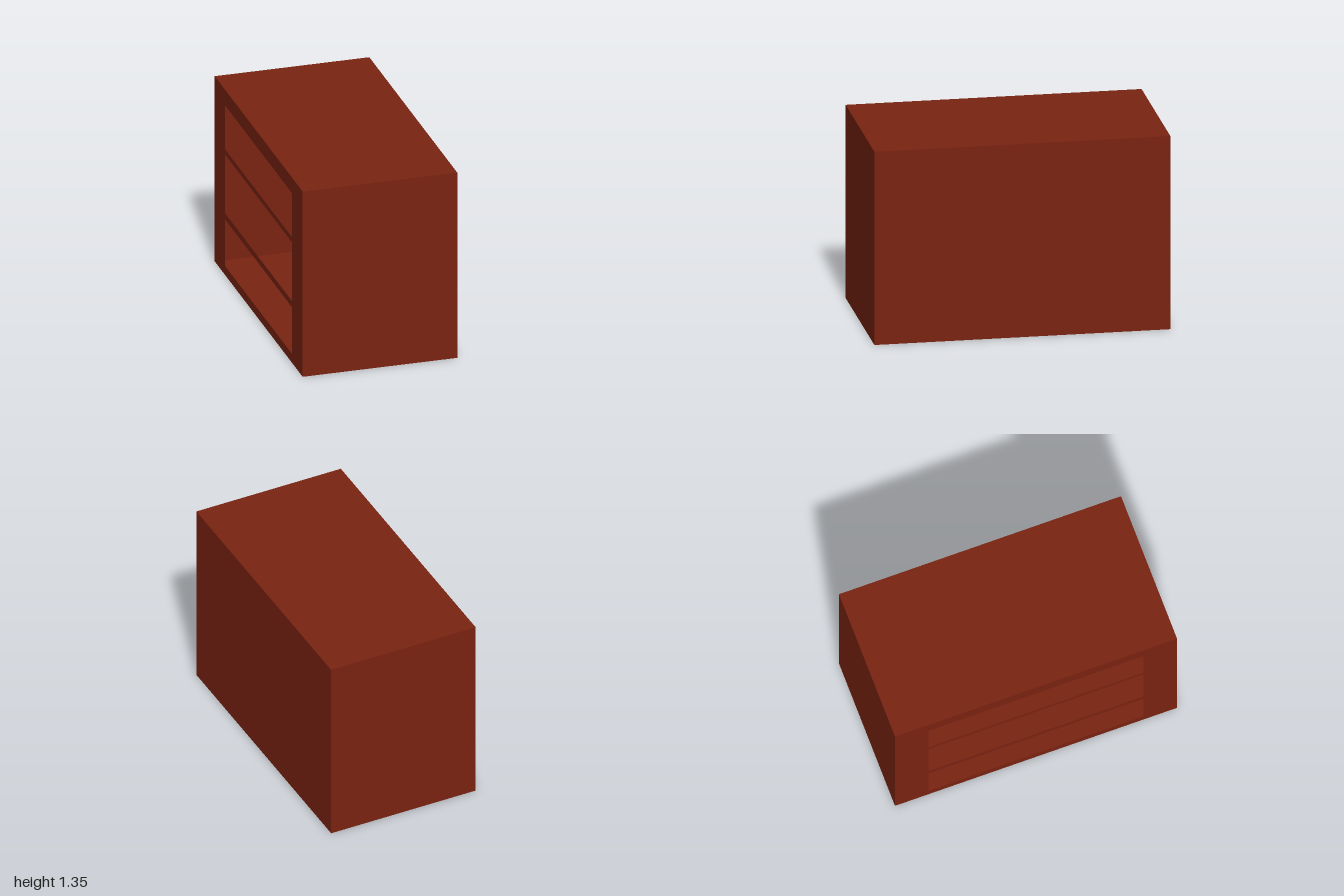
import * as THREE from 'three';

const W = 1.075, H = 1.345, D = 2;

export function createModel() {
  const group = new THREE.Group();
  group.name = 'cabinet';
  const material = new THREE.MeshStandardMaterial({ color: 0x7a2311, side: THREE.DoubleSide });

  const add = (name, geometry, x, y, z) => {
    const mesh = new THREE.Mesh(geometry, material);
    mesh.name = name;
    mesh.position.set(x, y, z);
    group.add(mesh);
  };

  // Thin closed panels
  add('frontPanel', new THREE.PlaneGeometry(W, H), 0, H / 2, D / 2);
  add('backPanel', new THREE.PlaneGeometry(W, H).rotateY(Math.PI), 0, H / 2, -D / 2);
  add('topPanel', new THREE.PlaneGeometry(W, D).rotateX(-Math.PI / 2), 0, H, 0);
  add('bottomPanel', new THREE.PlaneGeometry(W, D).rotateX(Math.PI / 2), 0, 0, 0);
  add('closedSide', new THREE.PlaneGeometry(D, H).rotateY(Math.PI / 2), W / 2, H / 2, 0);

  // Open side: a thin frame with three stacked openings separated by narrow rails
  const rect = (P, z, y0, y1) => new P([
    new THREE.Vector2(-z, y0), new THREE.Vector2(z, y0),
    new THREE.Vector2(z, y1), new THREE.Vector2(-z, y1),
  ]);
  const frame = rect(THREE.Shape, D / 2, 0, H);
  for (const [y0, y1] of [[0.065, 0.403], [0.448, 0.874], [0.912, 1.231]]) {
    frame.holes.push(rect(THREE.Path, 0.762, y0, y1));
  }
  add('openSideFrame', new THREE.ShapeGeometry(frame).rotateY(-Math.PI / 2), -W / 2, 0, 0);

  return group;
}
